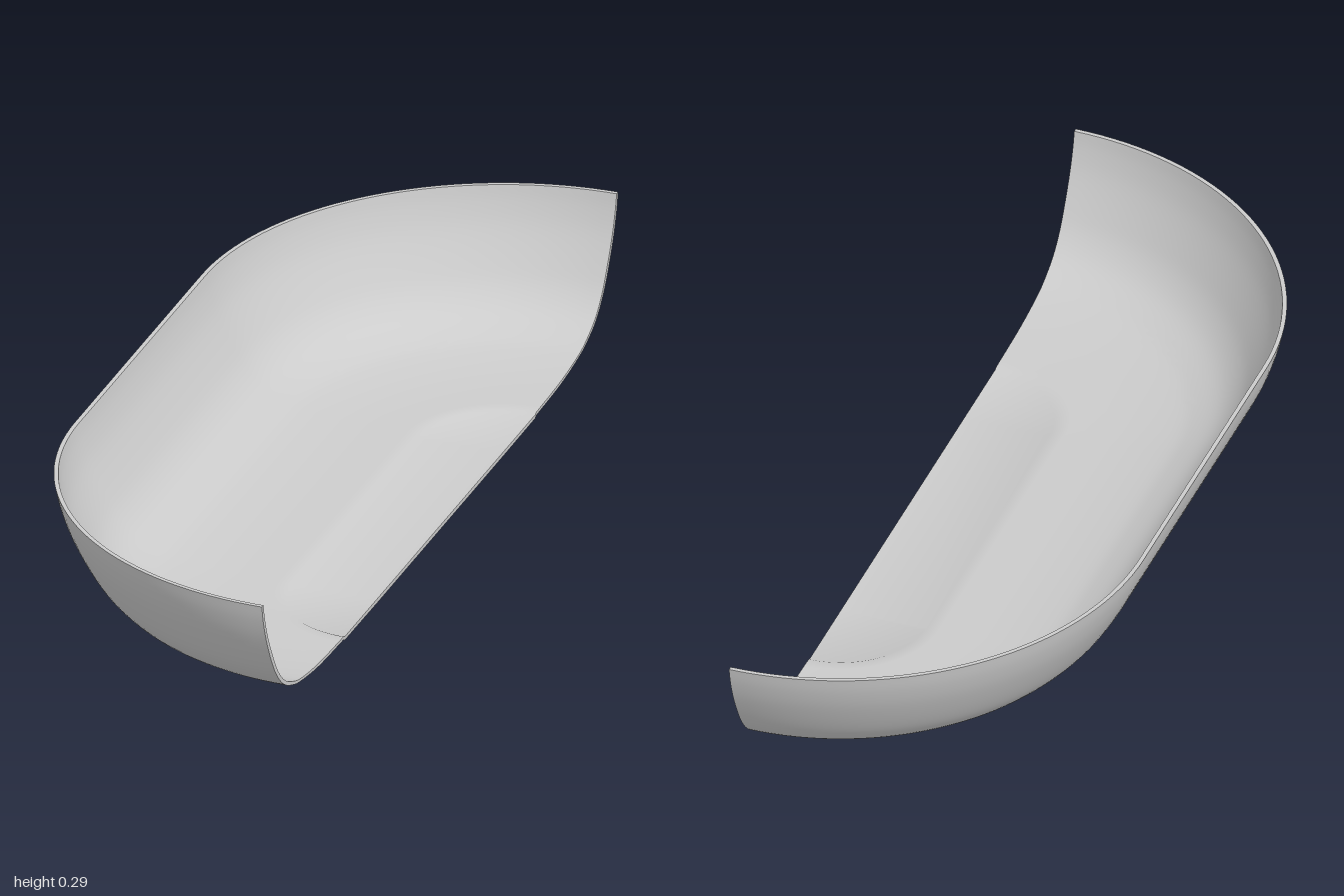
import * as THREE from 'three';
import { toCreasedNormals } from 'three/addons/utils/BufferGeometryUtils.js';

const CUT_X = 0.3225; // plane of the lengthwise cut
const HALF_STRAIGHT = 0.355; // half the length of the straight middle
const ARC_STEPS = 36;

const curve = (pts, n) => new THREE.SplineCurve(pts.map(([r, y]) => new THREE.Vector2(r, y))).getPoints(n);
const v2 = (r, y) => new THREE.Vector2(r, y);

// Wall profile as (distance from the centre line, height)
function wallProfile() {
  const inner = curve([
    [0.186, 0.012], [0.32, 0.017], [0.42, 0.029], [0.468, 0.043], [0.515, 0.067],
    [0.552, 0.103], [0.581, 0.149], [0.611, 0.208], [0.628, 0.256], [0.636, 0.29],
  ], 36);
  const outer = curve([
    [0.645, 0.29], [0.637, 0.253], [0.62, 0.204], [0.59, 0.143], [0.56, 0.098], [0.52, 0.06],
    [0.47, 0.036], [0.42, 0.023], [0.32, 0.01], [0.186, 0.005],
  ], 36);
  // the shallow foot lies within a radius of 0.18
  return [v2(0, 0.009), v2(0.18, 0.009), ...inner, ...outer, v2(0.18, 0.001), v2(0, 0)];
}

// Sweep the profile round the back quarter, along the middle and round the front quarter
function shellGeometry(profile) {
  const columns = 2 * ARC_STEPS + 1;
  const geo = new THREE.PlaneGeometry(1, 1, columns, profile.length - 1);
  const pos = geo.attributes.position;
  for (let k = 0; k < pos.count; k++) {
    const i = k % (columns + 1);
    const { x: r, y } = profile[Math.floor(k / (columns + 1))];
    const back = i <= ARC_STEPS;
    const step = back ? ARC_STEPS - i : i - ARC_STEPS - 1;
    const a = (step / ARC_STEPS) * Math.PI / 2;
    const z = HALF_STRAIGHT + r * Math.sin(a);
    pos.setXYZ(k, CUT_X - r * Math.cos(a), y, back ? -z : z);
  }
  return toCreasedNormals(geo, 0.5);
}

// Flat face where the shell is cut lengthwise
function cutFaceGeometry(profile) {
  const half = Math.floor(profile.length / 2);
  const inner = profile.slice(0, half);
  const outer = profile.slice(half);
  const side = (pts, s) => pts.map((p) => v2(s * (HALF_STRAIGHT + p.x), p.y));
  const outline = [
    ...side(outer, 1).reverse(), ...side(inner, 1).reverse(),
    ...side(inner, -1), ...side(outer, -1),
  ];
  return new THREE.ShapeGeometry(new THREE.Shape(outline)).rotateY(Math.PI / 2).translate(CUT_X, 0, 0);
}

export function createModel() {
  const group = new THREE.Group();
  group.name = 'halfOvalBowl';
  const material = new THREE.MeshStandardMaterial({ color: 0xcccccc, side: THREE.DoubleSide });
  const profile = wallProfile();
  const add = (name, geometry) => {
    const mesh = new THREE.Mesh(geometry, material);
    mesh.name = name;
    group.add(mesh);
  };
  add('bowlShell', shellGeometry(profile));
  add('cutFace', cutFaceGeometry(profile));
  return group;
}
